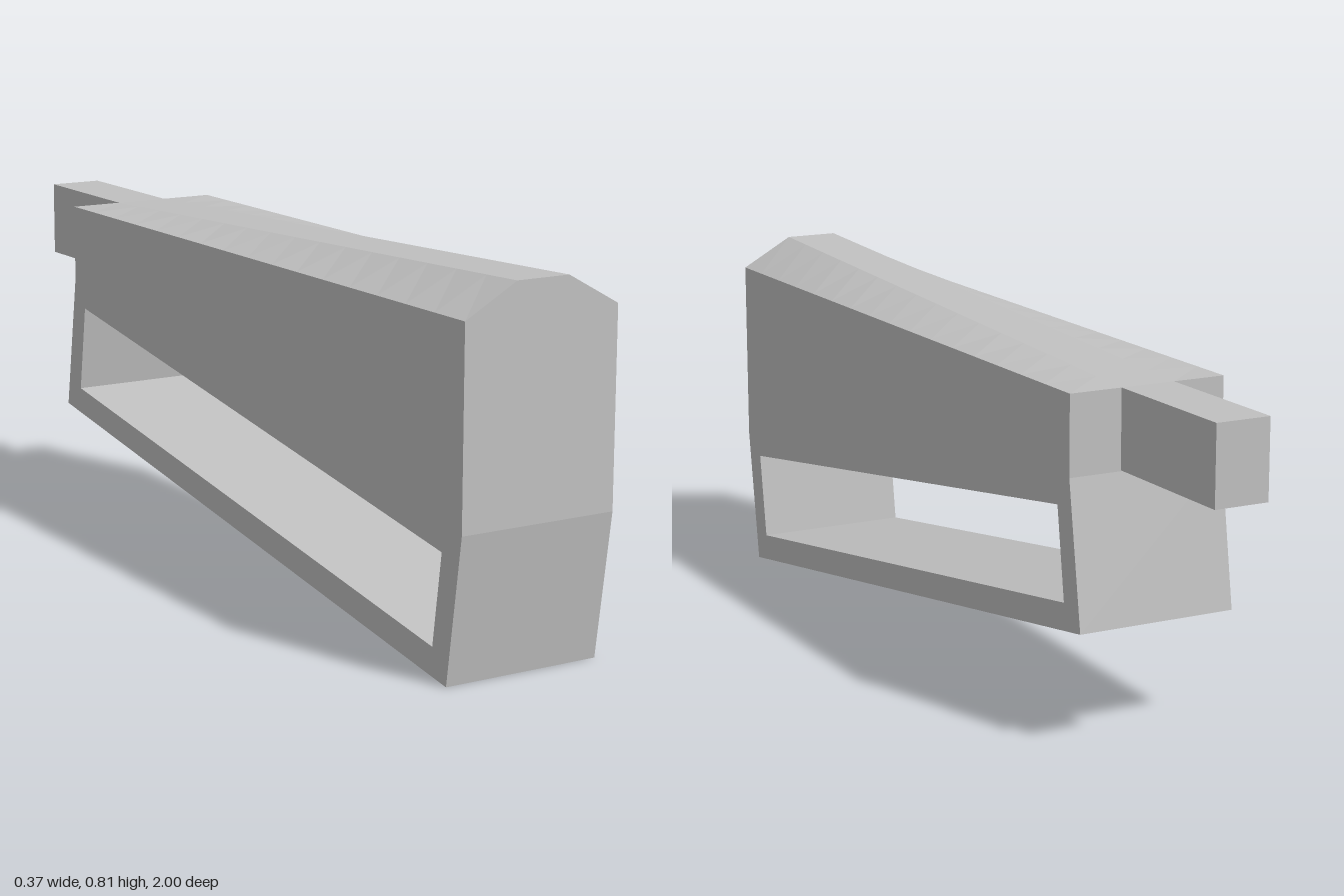
import * as THREE from 'three';

const HALF = 0.183, CREST = 0.062;          // half widths of body and crest
const FRONT = 1, BACK = -0.645, EAVE = 0.745, RISE = 0.068;

// Ridge that flattens from front to back, lofted from cross-sections
function ridgeGeometry(steps) {
  const section = (t) => {
    const z = FRONT + (BACK - FRONT) * t, top = EAVE + RISE * (1 - t);
    return [[-HALF, EAVE, z], [-CREST, top, z], [CREST, top, z], [HALF, EAVE, z]];
  };
  const pos = [];
  const quad = (a, b, c, d) => pos.push(...a, ...b, ...c, ...a, ...c, ...d);
  for (let i = 0; i < steps; i++) {
    const a = section(i / steps), b = section((i + 1) / steps);
    for (let j = 0; j < 3; j++) quad(a[j], a[j + 1], b[j + 1], b[j]);
  }
  const f = section(0);
  quad(f[0], f[3], f[2], f[1]);             // front end
  const g = new THREE.BufferGeometry();
  g.setAttribute('position', new THREE.Float32BufferAttribute(pos, 3));
  g.computeVertexNormals();
  return g;
}

export function createModel() {
  const group = new THREE.Group();
  const grey = new THREE.MeshStandardMaterial({ color: 0xc0c0c0 });
  grey.name = 'grey';
  const add = (name, geometry) => {
    const mesh = new THREE.Mesh(geometry, grey);
    mesh.name = name;
    group.add(mesh);
    return mesh;
  };
  const points = (list) => list.map(([z, y]) => new THREE.Vector2(z, y));

  // Body: side profile with a slanted through-opening
  const profile = new THREE.Shape(points([
    [FRONT, EAVE], [BACK, EAVE], [BACK, 0.57], [-0.694, 0.252], [0.953, 0], [FRONT, 0.32],
  ]));
  profile.holes.push(new THREE.Path(points([
    [0.932, 0.272], [0.903, 0.07], [-0.626, 0.302], [-0.597, 0.504],
  ])));
  const body = new THREE.ExtrudeGeometry(profile, { depth: HALF * 2, bevelEnabled: false });
  body.translate(0, 0, -HALF).rotateY(-Math.PI / 2);
  add('body', body);

  add('topRidge', ridgeGeometry(16));

  // Bar projecting from the back
  const barLength = BACK + 1;
  add('rearBar', new THREE.BoxGeometry(CREST * 2, EAVE - 0.572, barLength))
    .position.set(0, (EAVE + 0.572) / 2, -1 + barLength / 2);

  return group;
}
